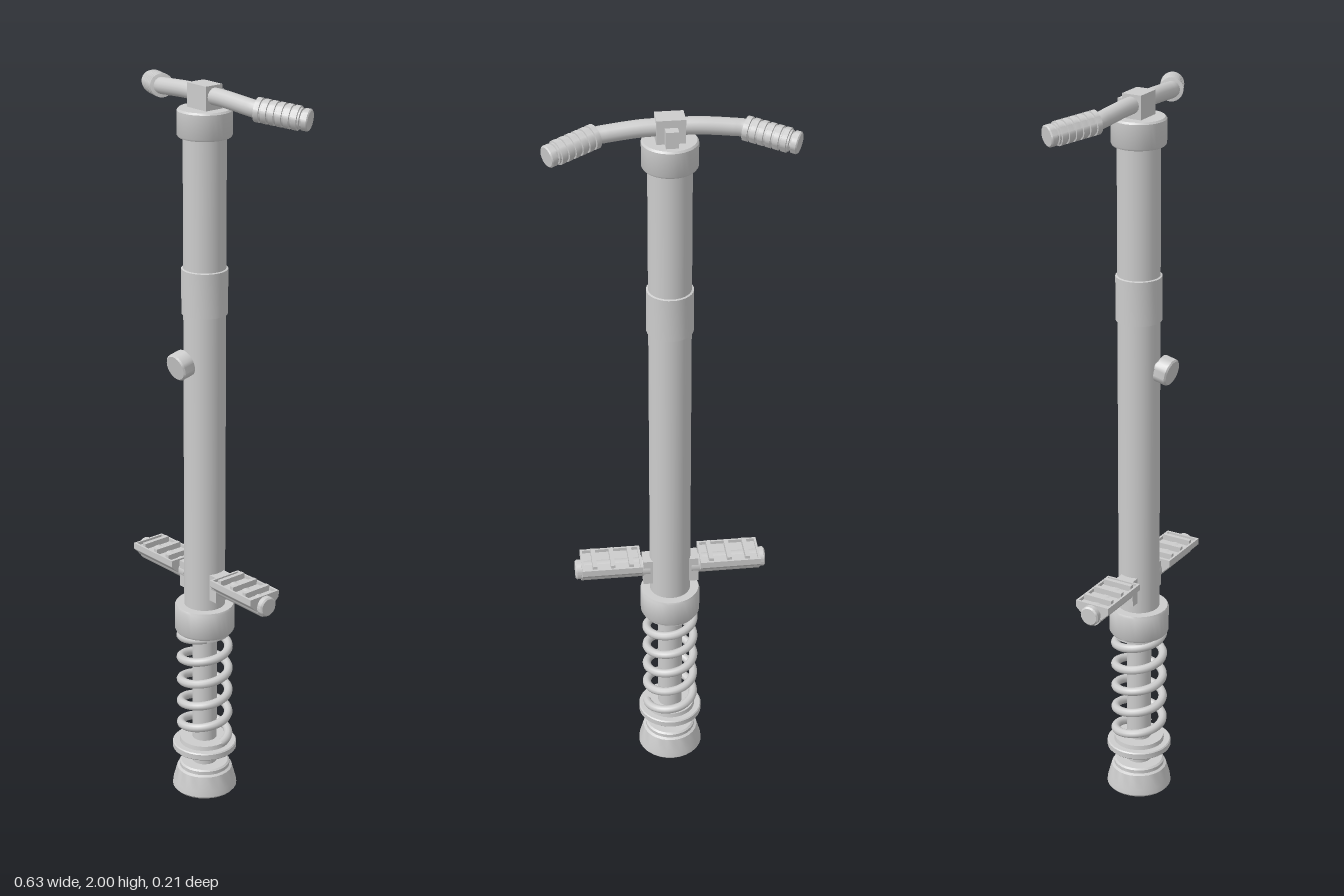
import * as THREE from 'three';
import { toCreasedNormals } from 'three/addons/utils/BufferGeometryUtils.js';

const grey = new THREE.MeshStandardMaterial({ color: 0xcccccc });
grey.name = 'light grey';

function add(parent, name, geometry, x = 0, y = 0, z = 0) {
  const mesh = new THREE.Mesh(geometry, grey);
  mesh.name = name;
  mesh.position.set(x, y, z);
  parent.add(mesh);
  return mesh;
}

// turned part from [radius, height] pairs, listed bottom to top
function turned(points, sides = 32) {
  const profile = points.map(([r, y]) => new THREE.Vector2(r, y));
  return toCreasedNormals(new THREE.LatheGeometry(profile, sides), 0.6);
}

// point a part's y axis along a direction
function aim(mesh, dir) {
  mesh.quaternion.setFromUnitVectors(new THREE.Vector3(0, 1, 0), dir.clone().normalize());
}

class Helix extends THREE.Curve {
  constructor(radius, y0, y1, turns) {
    super();
    Object.assign(this, { radius, y0, y1, turns });
  }
  getPoint(t, target = new THREE.Vector3()) {
    const a = t * this.turns * Math.PI * 2;
    return target.set(
      this.radius * Math.cos(a),
      this.y0 + (this.y1 - this.y0) * t,
      -this.radius * Math.sin(a));
  }
}

function addHandle(parent, s) {
  const inner = new THREE.Vector3(s * 0.182, 1.963, -0.011);
  const outer = new THREE.Vector3(s * 0.305, 1.947, -0.077);

  // bar sweeps gently out from the clamp and bends back into the grip
  const bar = new THREE.CatmullRomCurve3([
    new THREE.Vector3(0, 1.972, 0),
    new THREE.Vector3(s * 0.07, 1.972, -0.002),
    new THREE.Vector3(s * 0.15, 1.966, -0.007),
    inner,
    inner.clone().lerp(outer, 0.3),
  ]);
  add(parent, 'handlebar', new THREE.TubeGeometry(bar, 24, 0.022, 16));

  // ribbed grip with a plain end cap
  const length = inner.distanceTo(outer);
  const points = [[0, 0], [0.026, 0]];
  const ribs = 6, step = (length - 0.022) / ribs;
  for (let i = 0; i < ribs; i++) {
    const y = i * step;
    points.push([0.031, y + 0.001], [0.031, y + step * 0.72],
      [0.027, y + step * 0.76], [0.027, y + step * 0.98]);
  }
  points.push([0.023, length - 0.021], [0.023, length - 0.017],
    [0.028, length - 0.016], [0.028, length - 0.003], [0.025, length], [0, length]);
  const grip = add(parent, 'grip', turned(points, 24), inner.x, inner.y, inner.z);
  aim(grip, outer.clone().sub(inner));
}

function addPedal(parent, s) {
  const pedal = new THREE.Group();
  pedal.name = 'footPedal';
  parent.add(pedal);

  add(pedal, 'pedalBracket', new THREE.BoxGeometry(0.03, 0.075, 0.05), s * 0.061, 0.637, 0);
  const axle = add(pedal, 'pedalAxle',
    new THREE.CylinderGeometry(0.027, 0.027, 0.19, 20), s * 0.152, 0.643, 0);
  axle.rotation.z = Math.PI / 2;
  const cap = add(pedal, 'pedalEndCap',
    turned([[0, -0.01], [0.027, -0.01], [0.027, 0.006], [0.023, 0.01], [0, 0.01]], 20),
    s * 0.252, 0.648, 0);
  cap.rotation.z = -s * Math.PI / 2;

  // shallow tray with raised long edges and a tapered underside
  const section = new THREE.Shape([
    [-0.05, 0.677], [-0.05, 0.659], [-0.022, 0.632], [0.022, 0.632], [0.05, 0.659],
    [0.05, 0.677], [0.044, 0.677], [0.044, 0.668], [-0.044, 0.668], [-0.044, 0.677],
  ].map(([x, y]) => new THREE.Vector2(x, y)));
  const tray = add(pedal, 'pedalTray',
    new THREE.ExtrudeGeometry(section, { depth: 0.165, bevelEnabled: false }),
    s > 0 ? 0.08 : -0.245);
  tray.rotation.y = Math.PI / 2;

  // end rims and tread bars
  for (const x of [0.083, 0.242])
    add(pedal, 'pedalRim', new THREE.BoxGeometry(0.006, 0.01, 0.09), s * x, 0.672, 0);
  for (const x of [0.11, 0.16, 0.21])
    add(pedal, 'pedalTread', new THREE.BoxGeometry(0.012, 0.018, 0.084), s * x, 0.675, 0);
}

export function createModel() {
  const model = new THREE.Group();
  model.name = 'pogoStick';
  const body = new THREE.Group();
  body.name = 'body';
  body.position.z = -0.007;
  model.add(body);

  // flared foot, plunger rod and spring seat
  add(body, 'foot', turned([[0, 0], [0.085, 0], [0.09, 0.006], [0.088, 0.022],
    [0.077, 0.062], [0.07, 0.066], [0.07, 0.076], [0.065, 0.08], [0, 0.08]], 28));
  add(body, 'plungerRod', new THREE.CylinderGeometry(0.034, 0.034, 0.44, 28), 0, 0.29, 0);
  add(body, 'springSeat', turned([[0, 0.122], [0.086, 0.122], [0.089, 0.125], [0.089, 0.14],
    [0.086, 0.143], [0.07, 0.143], [0.068, 0.155], [0, 0.155]]));
  add(body, 'spring', new THREE.TubeGeometry(new Helix(0.066, 0.155, 0.487, 4.9), 220, 0.012, 10));

  // main tube with its lower collar, middle sleeve and top cap
  add(body, 'lowerCollar', turned([[0, 0.478], [0.07, 0.478], [0.07, 0.488], [0.078, 0.488],
    [0.082, 0.495], [0.082, 0.562], [0.079, 0.568], [0, 0.568]]));
  add(body, 'mainTube', new THREE.CylinderGeometry(0.056, 0.056, 1.34, 32), 0, 1.22, 0);
  add(body, 'sleeve', turned([[0.055, 1.398], [0.061, 1.4], [0.061, 1.52], [0.055, 1.522]]));
  add(body, 'topCap', turned([[0.054, 1.866], [0.068, 1.866], [0.071, 1.871], [0.071, 1.933],
    [0.067, 1.938], [0, 1.938]]));

  // tilted round knob on the front
  const tilt = new THREE.Vector3(0, -0.22, 0.975);
  aim(add(body, 'knobStem', new THREE.CylinderGeometry(0.014, 0.014, 0.05, 16), 0, 1.278, 0.056), tilt);
  aim(add(body, 'frontKnob', turned([[0, -0.018], [0.037, -0.018], [0.037, 0.014],
    [0.033, 0.018], [0, 0.018]], 24), 0, 1.273, 0.083), tilt);

  // handlebar clamp with a rear lug
  add(body, 'handlebarClamp', new THREE.BoxGeometry(0.072, 0.062, 0.054), 0, 1.969, 0);
  add(body, 'clampLug', new THREE.BoxGeometry(0.032, 0.045, 0.03), 0, 1.958, -0.037);

  for (const s of [-1, 1]) {
    addHandle(body, s);
    addPedal(body, s);
  }
  return model;
}
